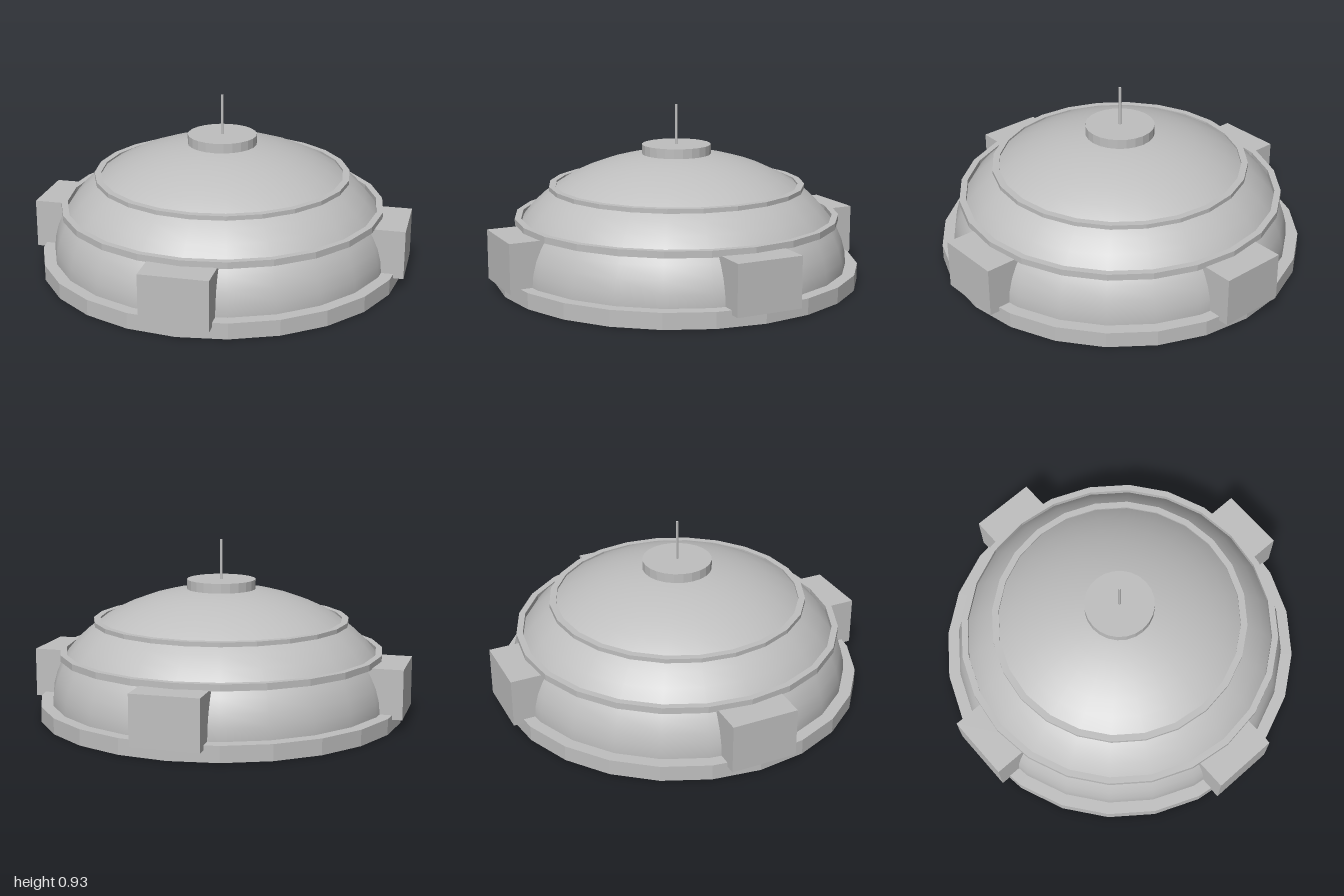
import * as THREE from 'three';

const SIDES = 24;

// Facet a geometry so each side reads as a flat panel
function faceted(geometry) {
  const g = geometry.index ? geometry.toNonIndexed() : geometry;
  g.computeVertexNormals();
  return g;
}

export function createModel() {
  const model = new THREE.Group();
  model.name = 'domedBuilding';
  const grey = new THREE.MeshStandardMaterial({ color: 0xbfbfbf });
  grey.name = 'light grey';

  function add(name, geometry, x = 0, y = 0, z = 0) {
    const mesh = new THREE.Mesh(geometry, grey);
    mesh.name = name;
    mesh.position.set(x, y, z);
    model.add(mesh);
    return mesh;
  }
  function disc(name, radius, y0, y1, sides = SIDES) {
    const g = new THREE.CylinderGeometry(radius, radius, y1 - y0, sides);
    return add(name, faceted(g), 0, (y0 + y1) / 2, 0);
  }
  // Flat band with a rectangular section wrapped around the dome
  function band(name, inner, outer, y0, y1) {
    const section = [[inner, y0], [outer, y0], [outer, y1], [inner, y1], [inner, y0]]
      .map(([r, y]) => new THREE.Vector2(r, y));
    return add(name, faceted(new THREE.LatheGeometry(section, SIDES)));
  }

  // Foundation
  disc('base', 0.97, 0, 0.083);

  // Smooth flattened dome
  const dome = new THREE.SphereGeometry(1, SIDES, 14, 0, Math.PI * 2, 0, Math.PI / 2);
  dome.scale(0.907, 0.602, 0.907);
  add('dome', dome, 0, 0.08, 0);

  // Bands around the dome
  band('lowerBand', 0.829, 0.863, 0.316, 0.35);
  band('upperBand', 0.645, 0.68, 0.49, 0.513);

  // Four entrance blocks
  for (let i = 0; i < 4; i++) {
    const a = (i * Math.PI) / 2;
    const block = add('entranceBlock', new THREE.BoxGeometry(0.35, 0.26, 0.25),
      Math.sin(a) * 0.875, 0.19, Math.cos(a) * 0.875);
    block.rotation.y = a;
  }

  // Roof cap and antenna
  disc('roofCap', 0.183, 0.64, 0.72);
  disc('antenna', 0.007, 0.71, 0.932, 8);

  return model;
}
